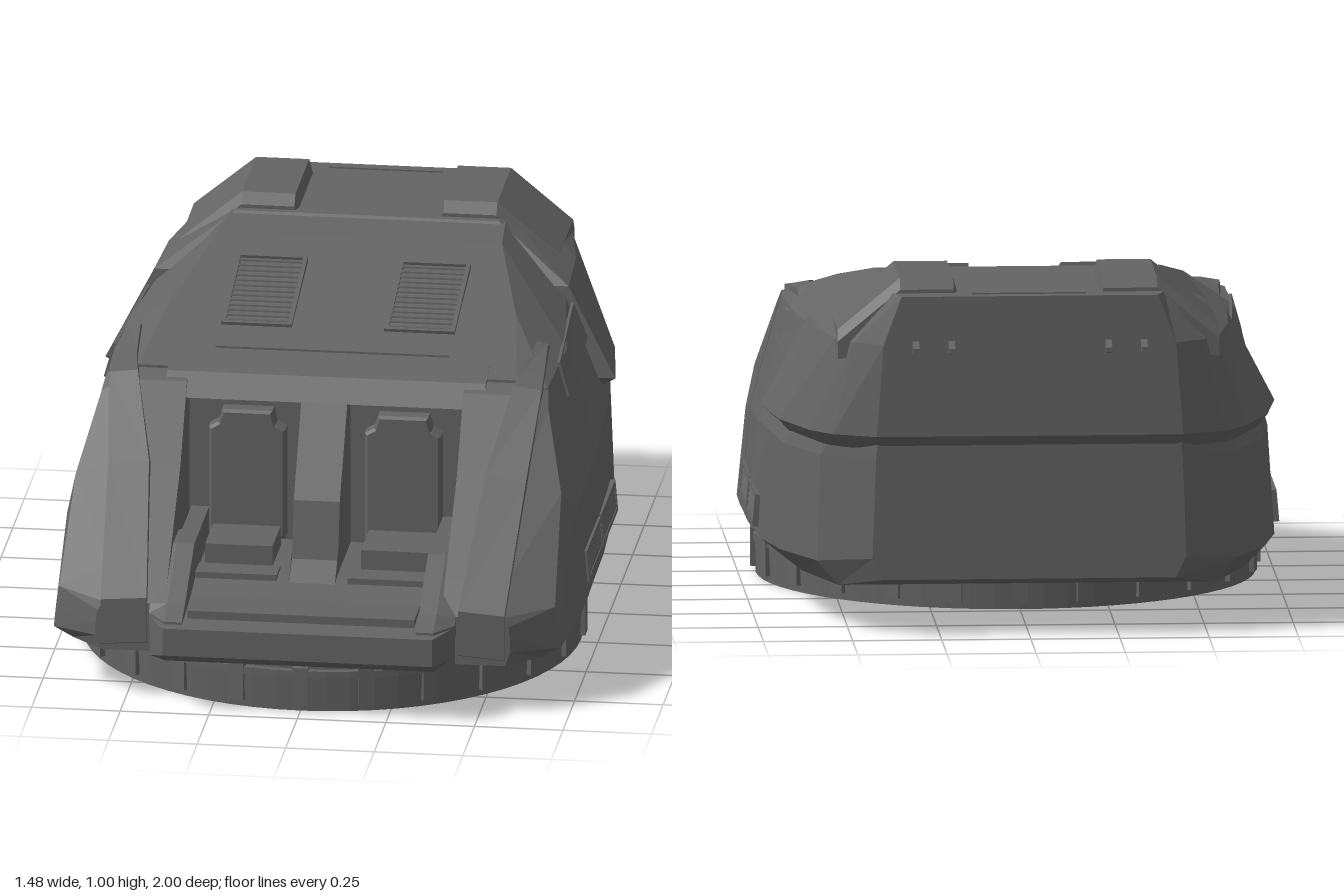
import * as THREE from 'three';

const grey = new THREE.MeshStandardMaterial({ color: 0x646464, flatShading: true });
grey.name = 'gunmetal grey';

// Skin matching rings of [x, y, z] points, cap both ends, and face outward
function loft(rings) {
  const n = rings[0].length, pos = rings.flat(2), idx = [];
  for (let r = 0; r < rings.length - 1; r++)
    for (let i = 0; i < n; i++) {
      const a = r * n + i, b = r * n + (i + 1) % n;
      idx.push(a, b, b + n, a, b + n, a + n);
    }
  [0, rings.length - 1].forEach((r, end) => {
    const c = pos.length / 3;
    for (let k = 0; k < 3; k++) pos.push(rings[r].reduce((s, p) => s + p[k], 0) / n);
    for (let i = 0; i < n; i++) {
      const a = r * n + i, b = r * n + (i + 1) % n;
      if (end) idx.push(c, a, b); else idx.push(c, b, a);
    }
  });
  const v = i => new THREE.Vector3(pos[3 * i], pos[3 * i + 1], pos[3 * i + 2]);
  let volume = 0;
  for (let i = 0; i < idx.length; i += 3) volume += v(idx[i]).dot(v(idx[i + 1]).cross(v(idx[i + 2])));
  if (volume < 0) idx.reverse();
  const g = new THREE.BufferGeometry();
  g.setAttribute('position', new THREE.Float32BufferAttribute(pos, 3));
  g.setIndex(idx);
  const flat = g.toNonIndexed();
  flat.computeVertexNormals();
  return flat;
}

function add(parent, name, geometry, x = 0, y = 0, z = 0) {
  const m = new THREE.Mesh(geometry, grey);
  m.name = name;
  m.position.set(x, y, z);
  parent.add(m);
  return m;
}
const box = (parent, name, w, h, d, x, y, z) => add(parent, name, new THREE.BoxGeometry(w, h, d), x, y, z);
const flip = rings => rings.map(r => r.map(([x, y, z]) => [-x, y, z]));
const pair = (parent, name, rings) => {
  add(parent, name + 'Left', loft(rings));
  add(parent, name + 'Right', loft(flip(rings)));
};
// Constant [z, y] profile placed at several x stations
const across = (profile, xs) => xs.map(x => profile.map(([z, y]) => [x, y, z]));

// Louvred panel lying in the xz plane, slats running along x
function louvre(name, w, d, count) {
  const g = new THREE.Group();
  g.name = name;
  for (const s of [-1, 1]) {
    box(g, 'frameSide', 0.012, 0.02, d, s * (w / 2 - 0.006), 0, 0);
    box(g, 'frameEnd', w, 0.02, 0.012, 0, 0, s * (d / 2 - 0.006));
  }
  const pitch = (d - 0.024) / count;
  for (let i = 0; i < count; i++)
    box(g, 'slat', w - 0.024, 0.005, pitch * 0.95, 0, 0.004, -d / 2 + 0.012 + pitch * (i + 0.5)).rotation.x = -0.35;
  return g;
}

export function createModel() {
  const model = new THREE.Group();
  model.name = 'armouredTurret';

  // Turning ring with clamps
  const ring = new THREE.Group();
  ring.name = 'turningRing';
  ring.position.z = 0.23;
  model.add(ring);
  add(ring, 'ringBase', new THREE.CylinderGeometry(0.705, 0.70, 0.10, 64), 0, 0.05, 0);
  add(ring, 'ringNeck', new THREE.CylinderGeometry(0.69, 0.69, 0.05, 64), 0, 0.12, 0);
  add(ring, 'ringBand', new THREE.CylinderGeometry(0.71, 0.71, 0.02, 64), 0, 0.11, 0);
  for (let i = 0; i < 24; i++) {
    const a = i / 24 * Math.PI * 2;
    box(ring, 'clamp', 0.045, 0.11, 0.04, Math.sin(a) * 0.695, 0.075, Math.cos(a) * 0.695).rotation.y = a;
  }

  // Main hull: half sections [x, y] along z
  const hull = [
    [0.345, [[0.69, 0.14], [0.735, 0.17], [0.71, 0.45], [0.62, 0.78], [0.535, 0.80]]],
    [0, [[0.69, 0.15], [0.735, 0.18], [0.71, 0.47], [0.63, 0.78], [0.485, 0.88]]],
    [-0.36, [[0.67, 0.15], [0.72, 0.19], [0.70, 0.5], [0.58, 0.8], [0.40, 0.955]]],
    [-0.62, [[0.62, 0.14], [0.68, 0.2], [0.67, 0.5], [0.54, 0.8], [0.38, 0.96]]],
    [-0.82, [[0.53, 0.13], [0.59, 0.2], [0.58, 0.5], [0.50, 0.8], [0.38, 0.955]]],
    [-0.93, [[0.41, 0.16], [0.44, 0.22], [0.43, 0.5], [0.40, 0.8], [0.36, 0.94]]],
  ];
  add(model, 'hull', loft(hull.map(([z, half]) => [
    ...half.map(([x, y]) => [x, y, z]),
    ...[...half].reverse().map(([x, y]) => [-x, y, z]),
  ])));

  // Overhanging rear armour: half plans [x, z] at rising heights
  const bustle = [
    [0.53, [[0.67, -0.40], [0.65, -0.62], [0.57, -0.82], [0.51, -0.88], [0.41, -0.92]]],
    [0.57, [[0.72, -0.36], [0.685, -0.62], [0.61, -0.82], [0.55, -0.90], [0.43, -0.96]]],
    [0.83, [[0.585, -0.38], [0.575, -0.62], [0.54, -0.82], [0.49, -0.90], [0.41, -0.955]]],
    [0.965, [[0.37, -0.52], [0.38, -0.62], [0.38, -0.82], [0.38, -0.88], [0.36, -0.95]]],
  ];
  add(model, 'rearArmour', loft(bustle.map(([y, half]) => [
    ...half.map(([x, z]) => [x, y, z]),
    ...[...half].reverse().map(([x, z]) => [-x, y, z]),
  ])));

  // Roof pods
  const pod = [[0.19, 0.93], [0.21, 1.005], [0.36, 1.005], [0.535, 0.86], [0.535, 0.81], [0.30, 0.85]];
  const podRing = (z, inset) => pod.map(([x, y]) => [x, y - inset, z]);
  pair(model, 'roofPod', [podRing(-0.54, 0.03), podRing(-0.565, 0), podRing(-0.86, 0), podRing(-0.885, 0.03)]);

  // Front side armour, framing the crew bay: sections [x, y] along z
  const cheek = [
    [0.335, [[0.39, 0.14], [0.69, 0.14], [0.736, 0.17], [0.711, 0.45], [0.622, 0.78], [0.56, 0.795], [0.39, 0.795]]],
    [0.40, [[0.39, 0.14], [0.69, 0.14], [0.736, 0.17], [0.711, 0.44], [0.63, 0.74], [0.56, 0.775], [0.39, 0.775]]],
    [0.54, [[0.39, 0.14], [0.69, 0.14], [0.735, 0.17], [0.71, 0.42], [0.685, 0.54], [0.57, 0.575], [0.39, 0.575]]],
    [0.79, [[0.39, 0.14], [0.66, 0.14], [0.715, 0.17], [0.71, 0.22], [0.70, 0.29], [0.565, 0.36], [0.39, 0.36]]],
    [0.88, [[0.39, 0.14], [0.57, 0.14], [0.585, 0.18], [0.585, 0.22], [0.58, 0.255], [0.56, 0.28], [0.39, 0.28]]],
  ];
  pair(model, 'frontArmour', cheek.map(([z, pts]) => pts.map(([x, y]) => [x, y, z])));
  // Raised rails running up the slope onto the roof edge: [inner x, outer x, z, y]
  pair(model, 'slopeRail', [
    [0.44, 0.57, 0.89, 0.17], [0.44, 0.57, 0.89, 0.30], [0.475, 0.59, 0.57, 0.595],
    [0.53, 0.61, 0.39, 0.80], [0.545, 0.605, 0.30, 0.815], [0.56, 0.59, 0.10, 0.835],
  ].map(([a, b, z, y]) => [[a, y, z], [b, y - 0.01, z], [b, y - 0.05, z - 0.08], [a, y - 0.04, z - 0.08]]));

  // Bay header and centre divider
  add(model, 'bayHeader', loft(across(
    [[0.28, 0.818], [0.37, 0.795], [0.425, 0.735], [0.33, 0.735]], [-0.45, 0.45])));
  add(model, 'bayDivider', loft(across(
    [[0.34, 0.785], [0.415, 0.74], [0.58, 0.50], [0.62, 0.34], [0.70, 0.28], [0.34, 0.26]], [-0.065, 0.065])));

  // Stepped nose and floor, tapered toward its sides
  const nose = [[0.94, 0.135], [1.0, 0.17], [1.0, 0.25], [0.94, 0.255], [0.80, 0.27], [0.64, 0.30], [0.34, 0.30], [0.34, 0.135]];
  const side = nose.map(([z, y]) => [Math.min(z, 0.9), y]);
  add(model, 'nose', loft([
    ...across(side, [-0.43]), ...across(nose, [-0.38, 0.38]), ...across(side, [0.43])]));
  box(model, 'noseStep', 0.64, 0.03, 0.13, 0, 0.265, 0.86);
  pair(model, 'noseCheek', [
    ...across([[0.58, 0.26], [0.58, 0.40], [0.70, 0.40], [0.90, 0.29], [0.97, 0.26], [0.97, 0.22]], [0.33, 0.38]),
    ...across([[0.58, 0.26], [0.58, 0.385], [0.70, 0.385], [0.88, 0.28], [0.90, 0.26], [0.90, 0.22]], [0.432]),
  ]);

  // Seats
  const back = new THREE.Shape([[-0.1, 0], [0.1, 0], [0.1, 0.31], [0.075, 0.325], [0.065, 0.36],
    [-0.065, 0.36], [-0.075, 0.325], [-0.1, 0.31]].map(p => new THREE.Vector2(...p)));
  for (const s of [-1, 1]) {
    const seat = new THREE.Group();
    seat.name = s > 0 ? 'seatLeft' : 'seatRight';
    seat.position.x = s * 0.22;
    model.add(seat);
    add(seat, 'backrest', new THREE.ExtrudeGeometry(back,
      { depth: 0.04, bevelEnabled: true, bevelSize: 0.008, bevelThickness: 0.008, bevelSegments: 1 }), 0, 0.33, 0.36);
    box(seat, 'cushion', 0.19, 0.06, 0.18, 0, 0.33, 0.49);
    box(seat, 'armrest', 0.05, 0.10, 0.20, s * 0.135, 0.35, 0.48);
    box(seat, 'footStep', 0.24, 0.03, 0.08, 0, 0.295, 0.64);
  }

  for (const s of [-1, 1]) {
    // Roof louvres
    const roof = louvre('roofLouvre', 0.20, 0.36, 13);
    roof.position.set(s * 0.23, 0.892, -0.05);
    roof.rotation.x = 0.234;
    model.add(roof);
    // Side louvres, leaning with the hull wall
    for (const z of [0.19, -0.125]) {
      const vent = louvre('sideLouvre', 0.30, 0.09, 4);
      vent.rotation.set(Math.PI / 2 - 0.09, s * Math.PI / 2, 0, 'YXZ');
      vent.position.set(s * 0.725, 0.255, z);
      model.add(vent);
    }
    // Rear lifting hooks
    for (const x of [0.22, 0.32])
      add(model, 'liftingHook', loft(across(
        [[-0.94, 0.80], [-0.94, 0.85], [-0.97, 0.83], [-1.0, 0.825], [-1.0, 0.81]], [s * x - 0.009, s * x + 0.009])));
  }

  // Upper side plates and roof seam strips
  pair(model, 'sidePlate', [[0.15, 0.65, 0.622], [-0.36, 0.634, 0.594]].map(([z, a, b]) =>
    [[a, 0.69, z], [a + 0.008, 0.69, z], [b + 0.008, 0.79, z], [b, 0.79, z]]));
  box(model, 'roofSeam', 0.66, 0.006, 0.008, 0, 0.826, 0.24);
  box(model, 'rearSeam', 0.32, 0.006, 0.008, 0, 0.966, -0.91);

  return model;
}
